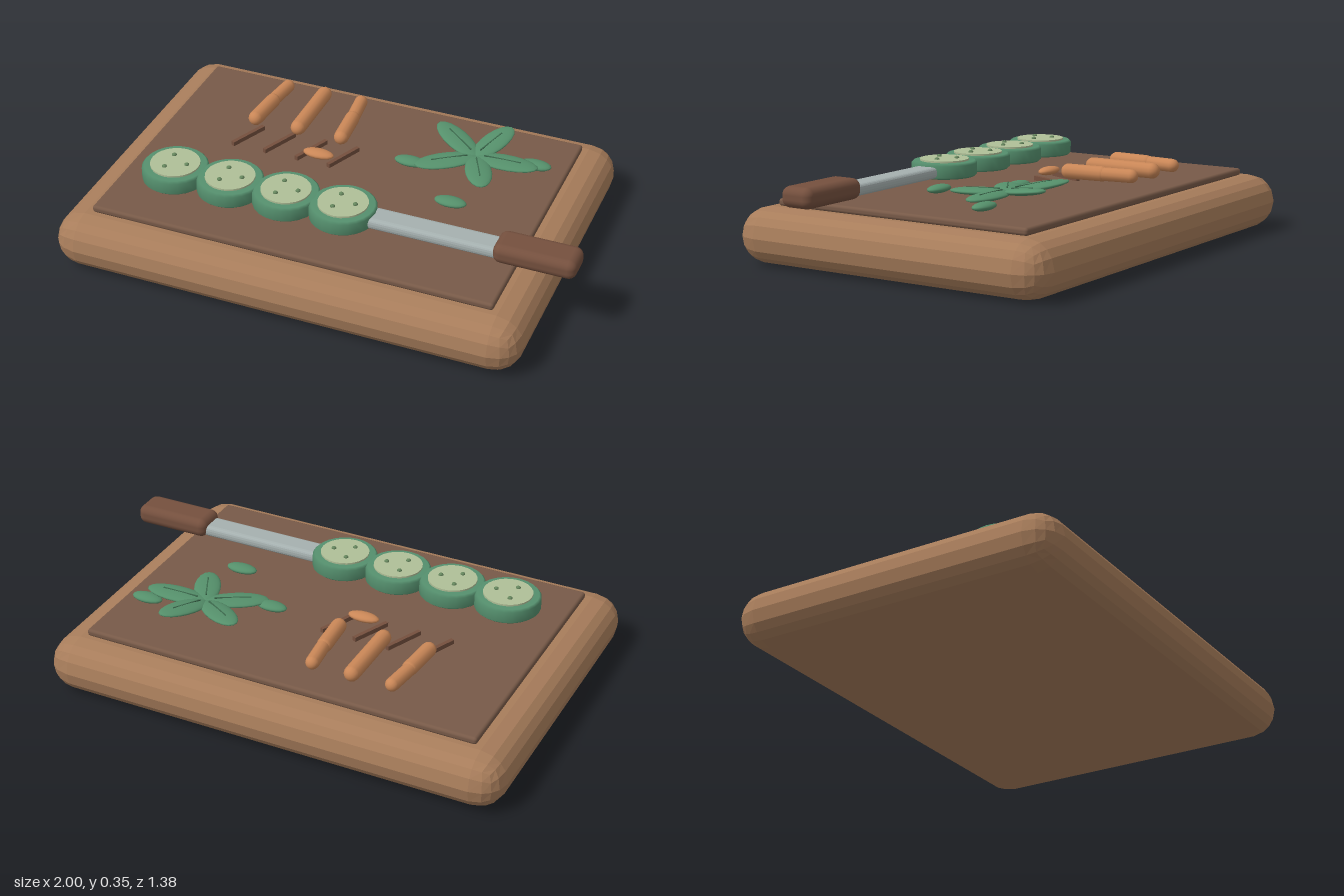
import * as THREE from 'three';
import { RoundedBoxGeometry } from 'three/addons/geometries/RoundedBoxGeometry.js';

const paint = (name, color, flatShading = false) => {
  const m = new THREE.MeshStandardMaterial({ color, flatShading });
  m.name = name;
  return m;
};

export function createModel() {
  const root = new THREE.Group();
  root.name = 'choppingBoard';
  const wood = paint('boardWood', 0xa87d5b, true);
  const darkWood = paint('darkWood', 0x785a48);
  const handleWood = paint('handleWood', 0x75503e);
  const steel = paint('steel', 0xa5b0af, true);
  const rind = paint('rindGreen', 0x55906e);
  const flesh = paint('paleFlesh', 0xafbf97);
  const seedGreen = paint('seedGreen', 0x66875e);
  const leafGreen = paint('leafGreen', 0x55906b);
  const veinGreen = paint('veinGreen', 0x3c6a4d);
  const orange = paint('carrotOrange', 0xca8757);

  const add = (name, geometry, material, x, y, z, parent = root) => {
    const mesh = new THREE.Mesh(geometry, material);
    mesh.name = name;
    mesh.position.set(x, y, z);
    parent.add(mesh);
    return mesh;
  };

  // Board with heavily rounded rim and a thin cutting surface
  add('board', new RoundedBoxGeometry(1.89, 0.22, 1.375, 2, 0.11), wood, -0.055, 0.11, 0);
  add('cuttingSurface', new RoundedBoxGeometry(1.625, 0.03, 1.12, 2, 0.012), darkWood, -0.053, 0.233, 0);

  // Cucumber slices: bevelled rind, raised flesh and three seeds
  const rindProfile = [[0, 0], [0.122, 0], [0.131, 0.008], [0.131, 0.053], [0.122, 0.062], [0, 0.062]]
    .map(([r, y]) => new THREE.Vector2(r, y));
  const rindGeo = new THREE.LatheGeometry(rindProfile, 24);
  const fleshGeo = new THREE.CylinderGeometry(0.098, 0.098, 0.016, 24);
  const seedGeo = new THREE.SphereGeometry(0.01, 8, 6);
  for (let i = 0; i < 4; i++) {
    const slice = new THREE.Group();
    slice.name = 'cucumberSlice';
    slice.position.set(-0.64 + i * 0.235, 0.268, 0.285);
    root.add(slice);
    add('rind', rindGeo, rind, 0, 0, 0, slice);
    add('flesh', fleshGeo, flesh, 0, 0.061, 0, slice);
    for (let k = 0; k < 3; k++) {
      const a = k * Math.PI * 2 / 3;
      add('seed', seedGeo, seedGreen, Math.cos(a) * 0.05, 0.07, Math.sin(a) * 0.05, slice).scale.y = 0.8;
    }
  }

  // Knife
  add('blade', new RoundedBoxGeometry(0.56, 0.046, 0.1, 2, 0.018), steel, 0.44, 0.295, 0.285);
  add('handle', new RoundedBoxGeometry(0.32, 0.08, 0.138, 3, 0.032), handleWood, 0.837, 0.306, 0.285);

  // Carrot sticks: one whole, two mirrored sticks cut into overlapping halves
  const stick = (x0, z0, x1, z1, r) => {
    const len = Math.hypot(x1 - x0, z1 - z0);
    const geo = new THREE.CapsuleGeometry(r, len, 5, 12);
    geo.rotateX(Math.PI / 2);
    add('carrotStick', geo, orange, (x0 + x1) / 2, 0.298, (z0 + z1) / 2)
      .rotation.y = Math.atan2(x1 - x0, z1 - z0);
  };
  stick(-0.32, -0.445, -0.32, -0.175, 0.031);
  for (const s of [-1, 1]) {
    const cx = -0.32;
    stick(cx + s * 0.163, -0.445, cx + s * 0.18, -0.3, 0.027);
    stick(cx + s * 0.176, -0.32, cx + s * 0.187, -0.175, 0.03);
  }
  add('carrotChip', new THREE.SphereGeometry(1, 16, 10), orange, -0.18, 0.283, -0.053)
    .scale.set(0.065, 0.017, 0.03);

  // Knife marks on the surface
  for (let i = 0; i < 4; i++) {
    add('cutMark', new THREE.BoxGeometry(0.016, 0.018, 0.168), handleWood, -0.508 + i * 0.138, 0.258, -0.1)
      .rotation.y = -0.4;
  }

  // Herb sprig: ellipsoid leaves that fan out from one point, each with a vein
  const leafGeo = new THREE.SphereGeometry(1, 18, 12);
  const hub = [0.41, -0.245];
  const tips = [[0.49, -0.45, 0.328], [0.21, -0.385, 0.325], [0.205, -0.115, 0.29], [0.5, -0.055, 0.3], [0.66, -0.25, 0.3]];
  for (const [x, z, tipY] of tips) {
    const len = Math.hypot(x - hub[0], z - hub[1]);
    const leaf = new THREE.Group();
    leaf.name = 'herbLeaf';
    leaf.position.set((x + hub[0]) / 2, (tipY + 0.298) / 2, (z + hub[1]) / 2);
    leaf.rotation.set(0, -Math.atan2(z - hub[1], x - hub[0]), Math.atan2(tipY - 0.298, len), 'YXZ');
    root.add(leaf);
    add('blade', leafGeo, leafGreen, 0, 0, 0, leaf).scale.set(len / 2 + 0.005, 0.014, 0.053);
    add('vein', new THREE.BoxGeometry(len * 0.6, 0.005, 0.005), veinGreen, -0.015, 0.0125, 0, leaf);
  }

  // Loose small leaves
  for (const [x, z] of [[0.64, -0.3], [0.175, -0.14], [0.415, 0.06]]) {
    add('looseLeaf', leafGeo, leafGreen, x, 0.283, z).scale.set(0.065, 0.016, 0.033);
  }
  return root;
}
